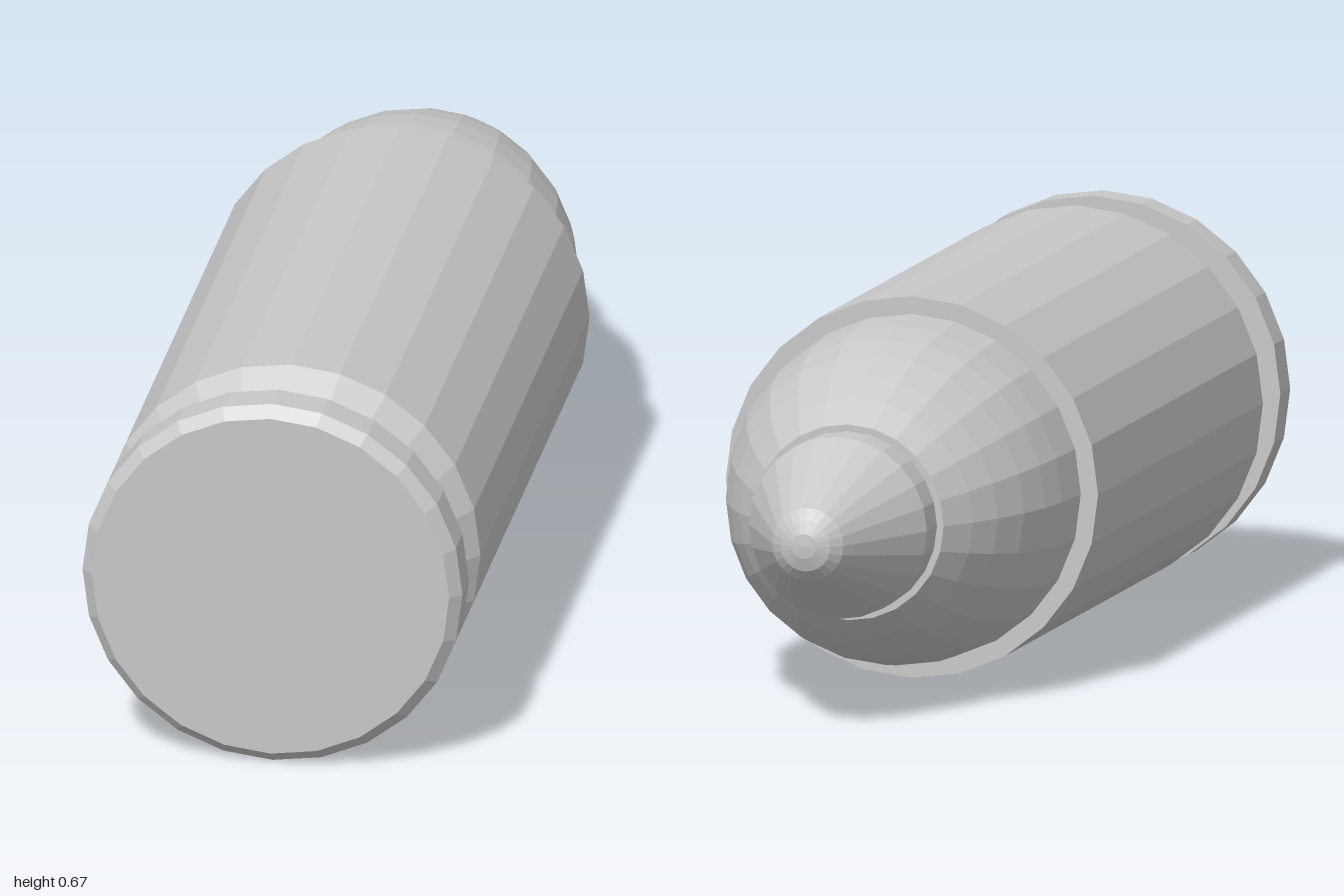
import * as THREE from 'three';

const SIDES = 24;
const AXIS_HEIGHT = 0.335;

// Faceted solid of revolution along z; profile is [radius, z], from front (+z) to back (-z)
function turned(name, profile, material) {
  const points = profile.map(([r, z]) => new THREE.Vector2(r, -z));
  const geometry = new THREE.LatheGeometry(points, SIDES).rotateX(-Math.PI / 2).toNonIndexed();
  geometry.computeVertexNormals();
  const mesh = new THREE.Mesh(geometry, material);
  mesh.name = name;
  mesh.position.y = AXIS_HEIGHT;
  return mesh;
}

export function createModel() {
  const metal = new THREE.MeshStandardMaterial({ color: 0xc8c8c8 });
  metal.name = 'grey metal';

  const model = new THREE.Group();
  model.name = 'cartridge';

  // Chamfered base disc
  model.add(turned('baseRim', [
    [0, 1], [0.315, 1], [0.335, 0.98], [0.335, 0.915], [0.297, 0.915],
  ], metal));

  // Groove, its sloped shoulder and the straight case
  model.add(turned('case', [
    [0.297, 0.915], [0.297, 0.85], [0.335, 0.8], [0.335, -0.287], [0.304, -0.287],
  ], metal));

  // Rounded nose narrowing to a flat ledge
  model.add(turned('nose', [
    [0.304, -0.287], [0.298, -0.39], [0.287, -0.46], [0.268, -0.53],
    [0.24, -0.6], [0.21, -0.655], [0.172, -0.708], [0.16, -0.708],
  ], metal));

  // Collar and tapered tip with a rounded end
  model.add(turned('tip', [
    [0.16, -0.708], [0.16, -0.775], [0.076, -0.95], [0.064, -0.973],
    [0.045, -0.99], [0.022, -0.998], [0, -1],
  ], metal));

  return model;
}
